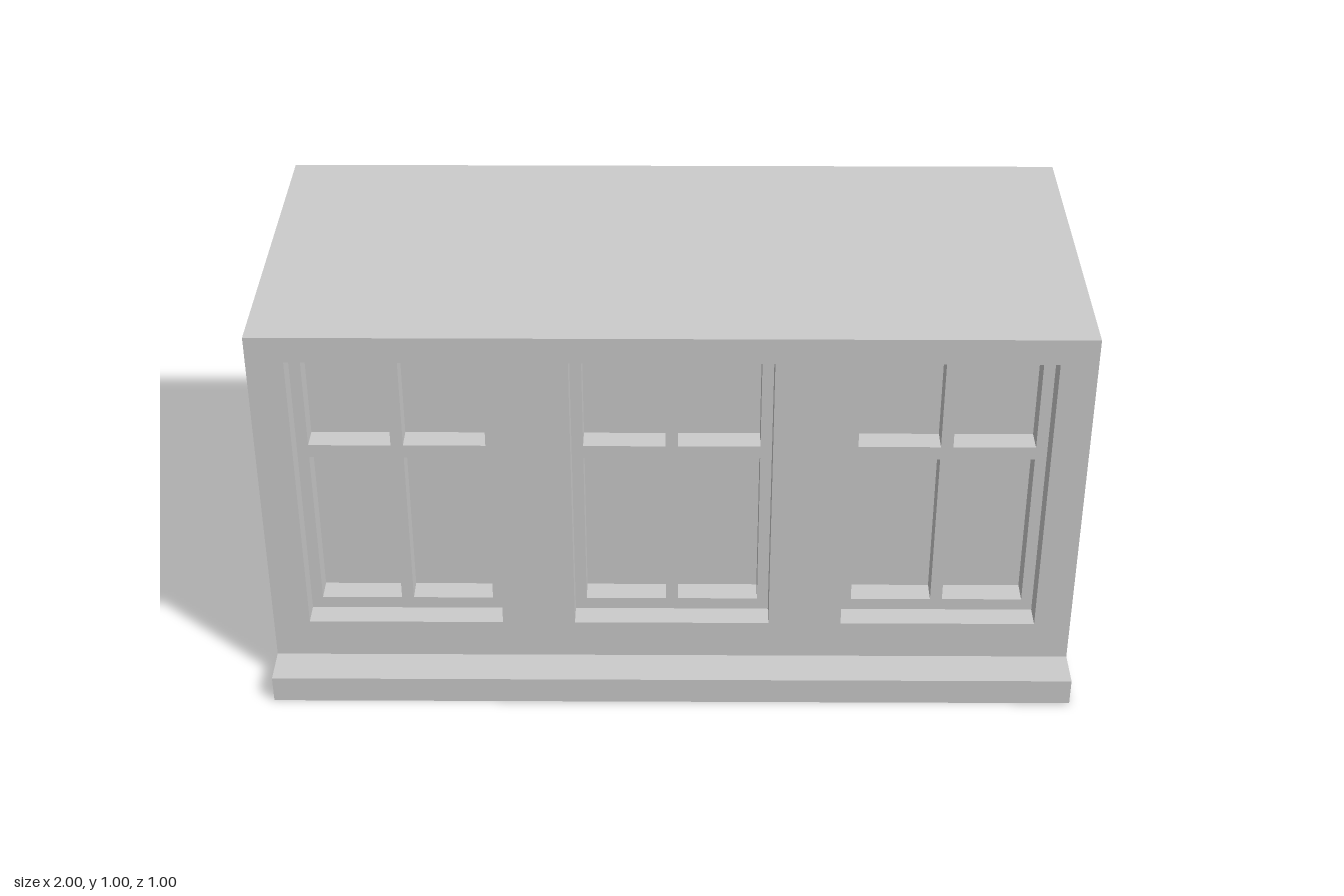
import * as THREE from 'three';

const WALL_Z = 0.4, RECESS = 0.06, GLASS_Z = WALL_Z - 2 * RECESS;
const WINDOW_X = [-0.667, 0, 0.667];
const HALF_W = 0.243, SILL_Y = 0.173, HEAD_Y = 0.933;

// Adds the corners of a rectangle to a Shape or Path
function rect(path, x0, y0, x1, y1) {
  path.moveTo(x0, y0).lineTo(x1, y0).lineTo(x1, y1).lineTo(x0, y1).closePath();
  return path;
}

export function createModel() {
  const model = new THREE.Group();
  const material = new THREE.MeshStandardMaterial({ color: 0xcccccc });

  function add(name, geometry, x, y, z) {
    const mesh = new THREE.Mesh(geometry, material);
    mesh.name = name;
    mesh.position.set(x, y, z);
    model.add(mesh);
  }

  // Building block; its front face forms the window panes
  const depth = GLASS_Z + 0.5;
  add('buildingBody', new THREE.BoxGeometry(2, 1, depth), 0, 0.5, GLASS_Z - depth / 2);

  // Front wall with three window openings
  const wall = rect(new THREE.Shape(), -1, 0, 1, 1);
  for (const x of WINDOW_X) {
    wall.holes.push(rect(new THREE.Path(), x - HALF_W, SILL_Y, x + HALF_W, HEAD_Y));
  }
  add('frontWall', new THREE.ExtrudeGeometry(wall, { depth: 2 * RECESS, bevelEnabled: false }), 0, 0, GLASS_Z);

  // Recessed window frames with four panes each
  const frame = rect(new THREE.Shape(), -HALF_W, SILL_Y, HALF_W, HEAD_Y);
  for (const [x0, x1] of [[-0.215, -0.015], [0.015, 0.215]]) {
    for (const [y0, y1] of [[0.205, 0.628], [0.663, 0.9]]) {
      frame.holes.push(rect(new THREE.Path(), x0, y0, x1, y1));
    }
  }
  const frameGeometry = new THREE.ExtrudeGeometry(frame, { depth: RECESS, bevelEnabled: false });
  WINDOW_X.forEach((x, i) => add(`windowFrame${i + 1}`, frameGeometry, x, 0, GLASS_Z));

  // Projecting ledge along the foot of the wall
  add('baseLedge', new THREE.BoxGeometry(2, 0.07, 0.1), 0, 0.035, 0.45);

  return model;
}
